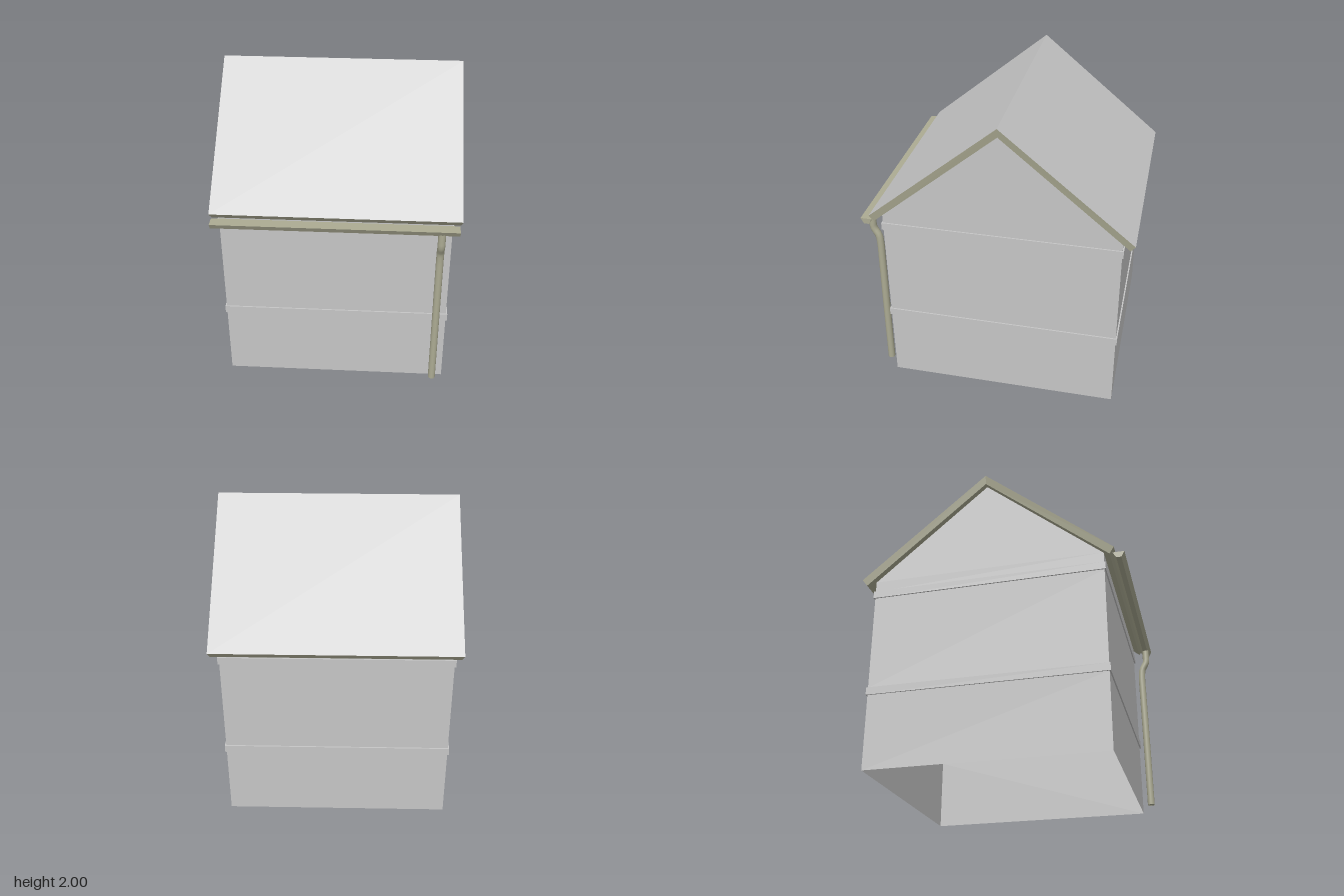
import * as THREE from 'three';

// Flat-shaded geometry from polygons given as corner lists (triangles or quads)
function facets(polygons) {
  const pos = [];
  for (const p of polygons) {
    for (let i = 1; i < p.length - 1; i++) pos.push(...p[0], ...p[i], ...p[i + 1]);
  }
  const g = new THREE.BufferGeometry();
  g.setAttribute('position', new THREE.Float32BufferAttribute(pos, 3));
  g.computeVertexNormals();
  return g;
}

export function createModel() {
  const group = new THREE.Group();
  const grey = new THREE.MeshStandardMaterial({ color: 0xc6c6c6, side: THREE.DoubleSide });
  grey.name = 'light grey';
  const olive = new THREE.MeshStandardMaterial({ color: 0xacab93, side: THREE.DoubleSide });
  olive.name = 'olive trim';

  const add = (name, geometry, material) => {
    const mesh = new THREE.Mesh(geometry, material);
    mesh.name = name;
    group.add(mesh);
    return mesh;
  };

  // Walls: an open shell whose rings step outward at two bands
  const x0 = -0.73, x1 = 0.722, z0 = -0.79, z1 = 0.74, ridgeZ = -0.03;
  const out = 0.009;
  const rings = [
    [0, 0], [0.49, 0], [0.49, out], [0.54, out], [0.54, 0],
    [1.18, 0], [1.18, out], [1.23, out], [1.23, 0], [1.302, 0],
  ].map(([y, o]) => [
    [x0 - o, y, z1 + o], [x1 + o, y, z1 + o], [x1 + o, y, z0 - o], [x0 - o, y, z0 - o],
  ]);
  const wallFaces = [];
  for (let r = 0; r < rings.length - 1; r++) {
    for (let i = 0; i < 4; i++) {
      const j = (i + 1) % 4;
      wallFaces.push([rings[r][i], rings[r][j], rings[r + 1][j], rings[r + 1][i]]);
    }
  }
  // Gable triangles
  const top = rings[rings.length - 1];
  wallFaces.push([top[1], top[2], [x1, 1.94, ridgeZ]]);
  wallFaces.push([top[3], top[0], [x0, 1.94, ridgeZ]]);
  add('walls', facets(wallFaces), grey);

  // Roof: grey slopes on top, olive edges and soffit; the underside is slightly narrower
  const outer = [[0.81, 1.305], [ridgeZ, 2], [-0.87, 1.305]];
  const inner = [[0.78, 1.265], [ridgeZ, 1.94], [-0.84, 1.265]];
  const X = 0.777, x = 0.766;
  const o = (i, s) => [s * X, outer[i][1], outer[i][0]];
  const n = (i, s) => [s * x, inner[i][1], inner[i][0]];
  add('roofSlopes', facets([
    [o(0, -1), o(0, 1), o(1, 1), o(1, -1)],
    [o(1, -1), o(1, 1), o(2, 1), o(2, -1)],
  ]), grey);
  const trim = [
    [n(0, -1), n(0, 1), o(0, 1), o(0, -1)],
    [n(2, 1), n(2, -1), o(2, -1), o(2, 1)],
  ];
  for (const i of [0, 1]) {
    trim.push([n(i, 1), n(i, -1), n(i + 1, -1), n(i + 1, 1)]);
    trim.push([n(i, 1), n(i + 1, 1), o(i + 1, 1), o(i, 1)]);
    trim.push([n(i + 1, -1), n(i, -1), o(i, -1), o(i + 1, -1)]);
  }
  add('roofTrim', facets(trim), olive);

  // Gutter: trapezoid section along the front eave
  const section = [[0.798, 1.27], [0.82, 1.232], [0.852, 1.232], [0.873, 1.27]];
  const left = section.map(([z, y]) => [-0.766, y, z]);
  const right = section.map(([z, y]) => [0.76, y, z]);
  const gutter = [[...left].reverse(), right];
  for (let i = 0; i < 4; i++) {
    const j = (i + 1) % 4;
    gutter.push([left[i], left[j], right[j], right[i]]);
  }
  add('gutter', facets(gutter), olive);

  // Downpipe with an offset bend under the gutter
  const px = 0.652, radius = 0.024;
  const path = new THREE.CatmullRomCurve3([
    [0.838, 1.24], [0.838, 1.19], [0.836, 1.14], [0.806, 1.08], [0.799, 1.02],
    [0.799, 0.9], [0.802, 0.5], [0.804, 0.04],
  ].map(([z, y]) => new THREE.Vector3(px, y, z)));
  add('downpipe', new THREE.TubeGeometry(path, 48, radius, 12), olive);
  const cap = add('downpipeEnd', new THREE.CircleGeometry(radius, 12), olive);
  cap.rotation.x = Math.PI / 2;
  cap.position.set(px, 0.041, 0.804);

  return group;
}
